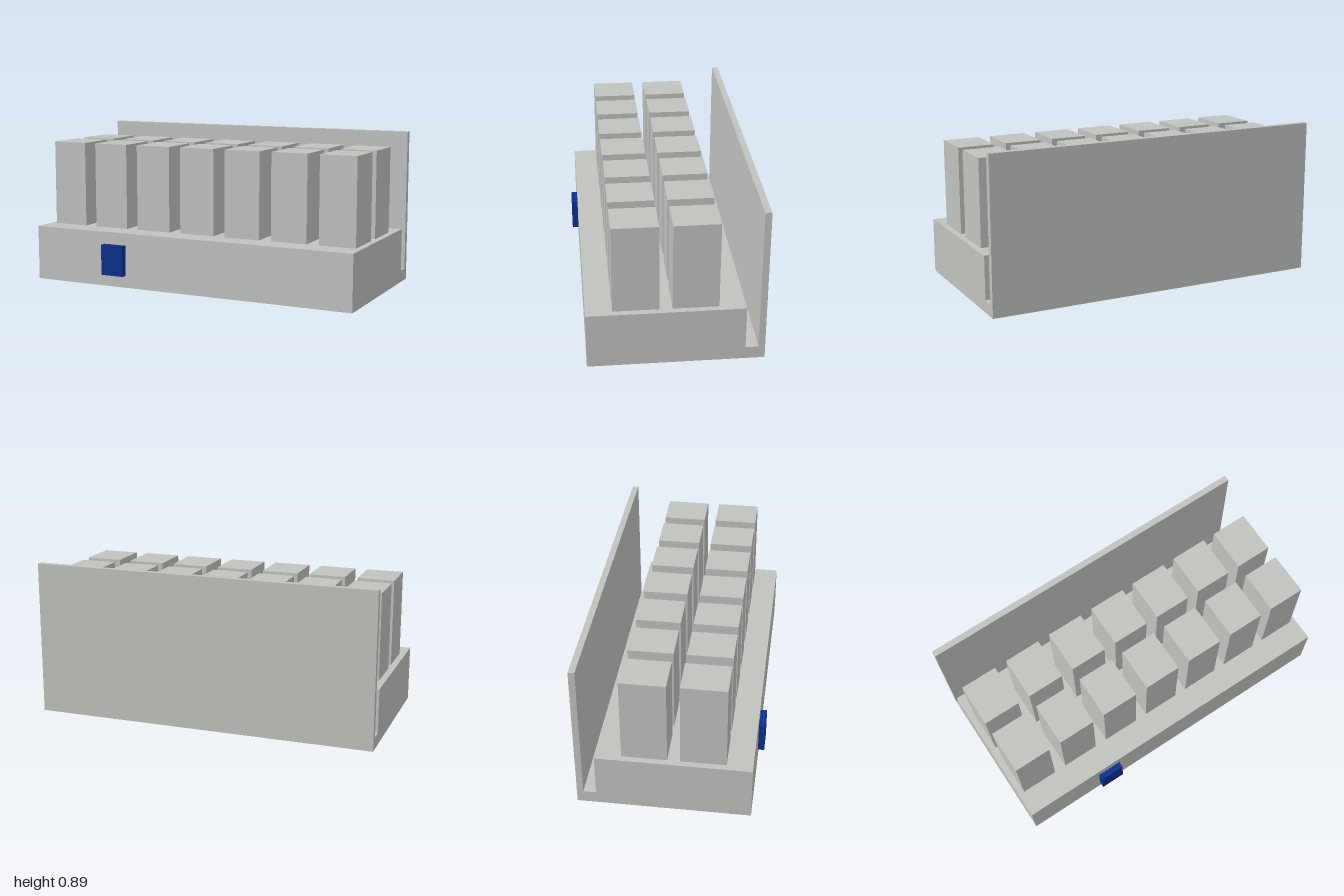
import * as THREE from 'three';

const grey = new THREE.MeshStandardMaterial({ color: 0xc0c2be });
grey.name = 'light grey';
const blue = new THREE.MeshStandardMaterial({ color: 0x0c2f8c });
blue.name = 'deep blue';

// Box placed by its centre in x and z and by its underside in y
function box(name, [w, h, d], [x, y, z], material) {
  const mesh = new THREE.Mesh(new THREE.BoxGeometry(w, h, d), material);
  mesh.name = name;
  mesh.position.set(x, y + h / 2, z);
  return mesh;
}

export function createModel() {
  const model = new THREE.Group();
  model.name = 'blockRack';

  // Base, slot and back panel as one side profile (z, y) swept along x
  const profile = new THREE.Shape([
    [0.464, 0], [0.464, 0.321], [-0.393, 0.321], [-0.393, 0.071],
    [-0.464, 0.071], [-0.464, 0.893], [-0.5, 0.893], [-0.5, 0],
  ].map(([z, y]) => new THREE.Vector2(z, y)));
  const bodyGeometry = new THREE.ExtrudeGeometry(profile, { depth: 2, bevelEnabled: false });
  bodyGeometry.rotateY(-Math.PI / 2).translate(1, 0, 0);
  const body = new THREE.Mesh(bodyGeometry, grey);
  body.name = 'baseWithBackPanel';
  model.add(body);

  // Two rows of seven upright blocks
  const blocks = new THREE.Group();
  blocks.name = 'blocks';
  for (const [row, z] of [['front', 0.196], ['back', -0.125]]) {
    for (let i = 0; i < 7; i++) {
      const x = (i - 3) * 2 / 7;
      blocks.add(box(`${row}Block${i + 1}`, [0.214, 0.5, 0.25], [x, 0.321, z], grey));
    }
  }
  model.add(blocks);

  // Small control box on the front
  model.add(box('controlBox', [0.143, 0.179, 0.036], [-0.464, 0.071, 0.482], blue));

  return model;
}
